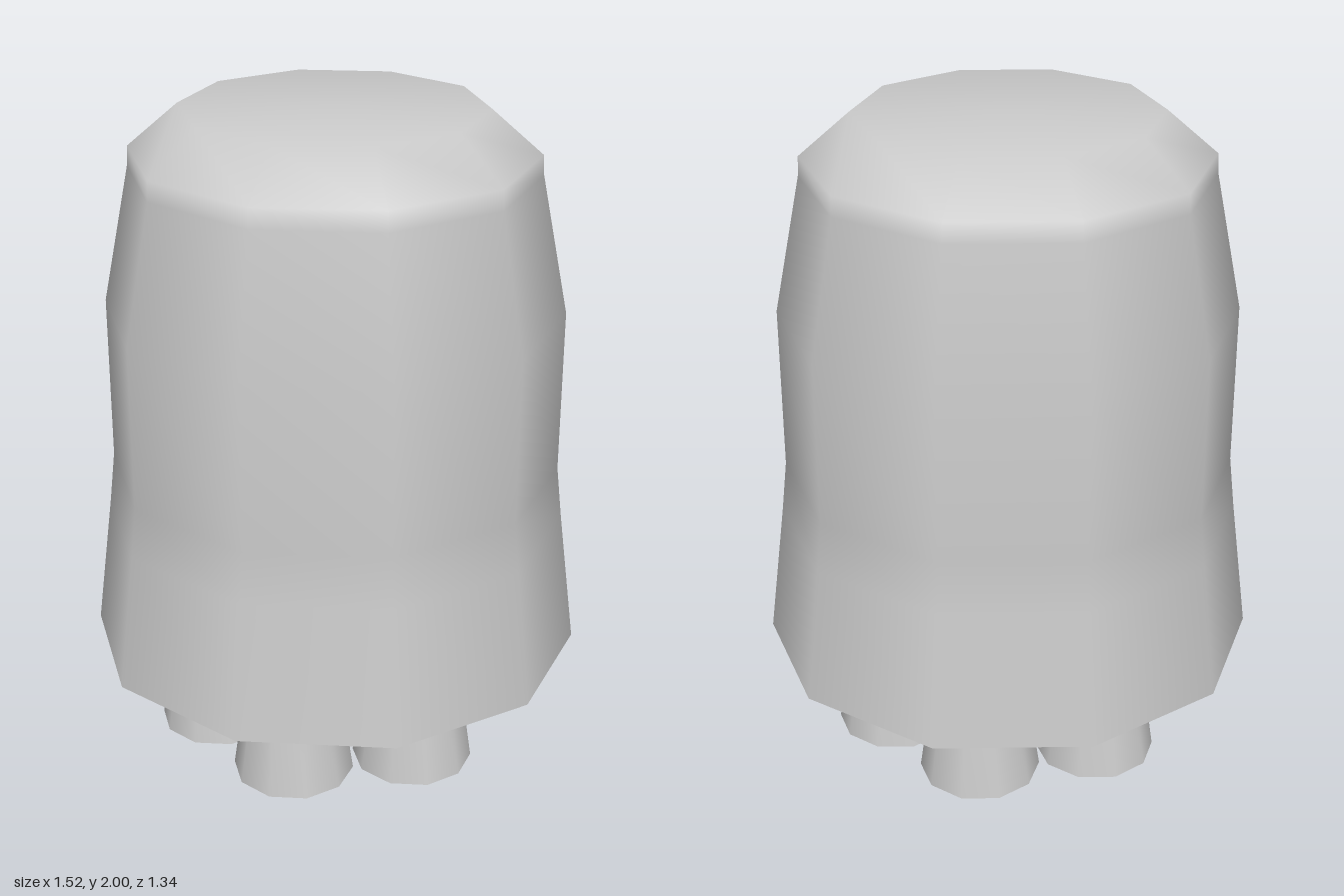
import * as THREE from 'three';
import { toCreasedNormals } from 'three/addons/utils/BufferGeometryUtils.js';

const SIDES = 10;

// Ten-sided turned shape with corners on the x axis
function turned(profile, creased) {
  const points = profile.map(([r, y]) => new THREE.Vector2(r, y));
  const geometry = new THREE.LatheGeometry(points, SIDES, Math.PI / 2);
  return creased ? toCreasedNormals(geometry, 0.75) : geometry;
}

export function createModel() {
  const model = new THREE.Group();
  const material = new THREE.MeshStandardMaterial({ color: 0xcccccc });

  function add(name, geometry, parent = model) {
    const mesh = new THREE.Mesh(geometry, material);
    mesh.name = name;
    parent.add(mesh);
    return mesh;
  }

  // Hollow housing, slightly narrower front to back
  const housing = new THREE.Group();
  housing.name = 'housing';
  housing.scale.z = 0.93;
  model.add(housing);

  // Flared shell with a bevelled top
  add('shell', turned([
    [0.76, 0.29], [0.705, 0.72], [0.687, 0.88], [0.687, 1.39],
    [0.603, 1.81], [0.6, 1.87], [0.45, 2], [0, 2],
  ]), housing);

  // Recess, lip and bottom rim
  add('underside', turned([
    [0, 0.6], [0.54, 0.6], [0.54, 0.275], [0.56, 0.275],
    [0.56, 0.29], [0.76, 0.29],
  ], true), housing);

  // One central barrel and six around it, all bored from below
  const barrel = turned([
    [0, 0.26], [0.095, 0.26], [0.095, 0], [0.185, 0], [0.1, 0.6],
  ], true);
  add('centreBarrel', barrel);
  for (let i = 0; i < 6; i++) {
    const angle = Math.PI / 4 + (i * Math.PI) / 3;
    const mesh = add('outerBarrel' + (i + 1), barrel);
    mesh.position.set(0.375 * Math.cos(angle), 0, 0.375 * Math.sin(angle));
  }

  return model;
}
